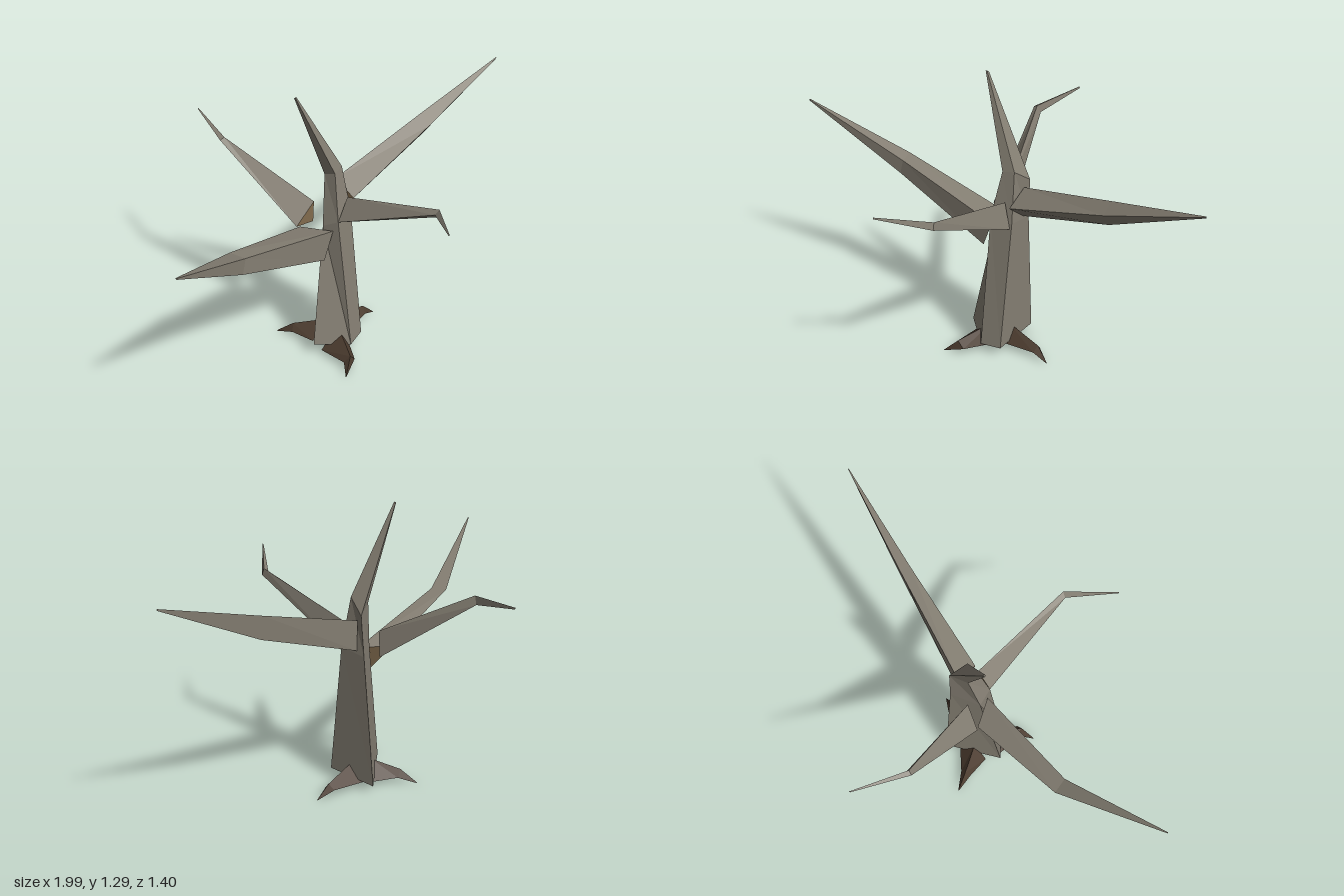
import * as THREE from 'three';

const bark = new THREE.MeshStandardMaterial({ color: 0x857f73 });
const rootBark = new THREE.MeshStandardMaterial({ color: 0x4c3c2f });
const cutWood = new THREE.MeshStandardMaterial({ color: 0x8a7253 });
bark.name = 'greyBark';
rootBark.name = 'darkRoot';
cutWood.name = 'cutWood';

// Joins matching cross-sections with flat faces; group 0 is the skin, group 1 the base cap
function loft(sections) {
  const n = sections[0].length;
  const tris = [];
  for (let s = 0; s < sections.length - 1; s++) {
    const a = sections[s], b = sections[s + 1];
    for (let i = 0; i < n; i++) {
      const j = (i + 1) % n;
      tris.push([a[i], a[j], b[j]], [a[i], b[j], b[i]]);
    }
  }
  const end = sections[sections.length - 1], start = sections[0];
  for (let i = 1; i < n - 1; i++) tris.push([end[0], end[i], end[i + 1]]);
  const skin = tris.length * 3;
  for (let i = 1; i < n - 1; i++) tris.push([start[0], start[i + 1], start[i]]);

  // A negative volume means the loops run the wrong way round
  let volume = 0;
  const v = tris.map(t => t.map(p => new THREE.Vector3(...p)));
  v.forEach(([a, b, c]) => { volume += a.dot(b.clone().cross(c)); });
  if (volume < 0) v.forEach(t => t.reverse());

  const geometry = new THREE.BufferGeometry().setFromPoints(v.flat());
  geometry.addGroup(0, skin, 0);
  geometry.addGroup(skin, v.length * 3 - skin, 1);
  geometry.computeVertexNormals();
  return geometry;
}

// Small blunt end with n corners around a point, turned to follow the last section
function tip(p, section, size = 0.07) {
  const n = section.length;
  const mid = [0, 1, 2].map(k => section.reduce((sum, q) => sum + q[k], 0) / n);
  return section.map(q => q.map((c, k) => p[k] + (c - mid[k]) * size));
}

function limb(name, sections, end, materials, size) {
  const last = sections[sections.length - 1];
  const mesh = new THREE.Mesh(loft([...sections, tip(end, last, size)]), materials);
  mesh.name = name;
  return mesh;
}

export function createModel() {
  const tree = new THREE.Group();
  tree.name = 'bareTree';
  const wood = [bark, cutWood];
  const dark = [rootBark, rootBark];

  // Four-sided trunk that narrows into the leaning top spike
  tree.add(limb('trunk', [
    [[0.06, 0.045, -0.115], [0.065, 0.055, 0.13], [-0.03, 0.05, 0.15], [-0.16, 0.07, 0.04]],
    [[0.07, 0.66, -0.07], [0.072, 0.68, 0.055], [-0.03, 0.69, 0.07], [-0.05, 0.65, 0.0]],
    [[0.08, 0.85, -0.063], [0.055, 0.91, 0.015], [0.0, 0.9, 0.025], [-0.005, 0.88, -0.03]],
  ], [-0.143, 1.29, -0.06], wood, 0.12));

  // Three-sided branches
  tree.add(limb('rightBranch', [
    [[-0.09, 0.51, 0.045], [-0.04, 0.64, 0.05], [-0.12, 0.65, -0.07]],
    [[-0.57, 0.705, 0.04], [-0.55, 0.775, 0.04], [-0.57, 0.78, -0.03]],
  ], [-0.997, 0.993, 0.155], wood));
  tree.add(limb('leftBranch', [
    [[0.07, 0.68, -0.03], [0.07, 0.82, -0.035], [0.07, 0.765, 0.07]],
    [[0.55, 0.86, 0.055], [0.55, 0.965, 0.045], [0.55, 0.925, 0.1]],
  ], [0.997, 1.1, 0.13], wood));
  tree.add(limb('backBranch', [
    [[-0.03, 0.63, -0.075], [-0.13, 0.65, -0.08], [-0.04, 0.745, -0.06]],
    [[-0.16, 0.93, -0.475], [-0.19, 0.955, -0.465], [-0.17, 0.965, -0.46]],
  ], [-0.1, 0.988, -0.697], wood, 0.2));
  tree.add(limb('frontBranch', [
    [[-0.03, 0.69, 0.07], [0.065, 0.655, 0.06], [0.04, 0.78, 0.06]],
    [[0.03, 0.905, 0.525], [0.055, 0.89, 0.54], [0.052, 0.922, 0.53]],
  ], [-0.11, 0.962, 0.695], wood, 0.2));

  // Bent claw-like roots
  tree.add(limb('leftRoot', [
    [[0.03, 0.035, -0.05], [0.03, 0.12, 0.02], [0.03, 0.04, 0.075]],
    [[0.19, 0.04, 0.0], [0.2, 0.068, 0.025], [0.19, 0.04, 0.05]],
  ], [0.258, 0.006, 0.04], dark));
  tree.add(limb('frontRoot', [
    [[-0.13, 0.03, 0.06], [-0.03, 0.12, 0.07], [0.01, 0.035, 0.09]],
    [[-0.13, 0.035, 0.195], [-0.11, 0.07, 0.215], [-0.08, 0.035, 0.215]],
  ], [-0.17, 0.006, 0.243], dark));
  tree.add(limb('backRoot', [
    [[-0.11, 0.03, -0.01], [-0.04, 0.11, -0.02], [0.01, 0.03, -0.07]],
    [[-0.13, 0.035, -0.12], [-0.11, 0.068, -0.135], [-0.085, 0.035, -0.14]],
  ], [-0.145, 0.006, -0.205], dark));
  return tree;
}
